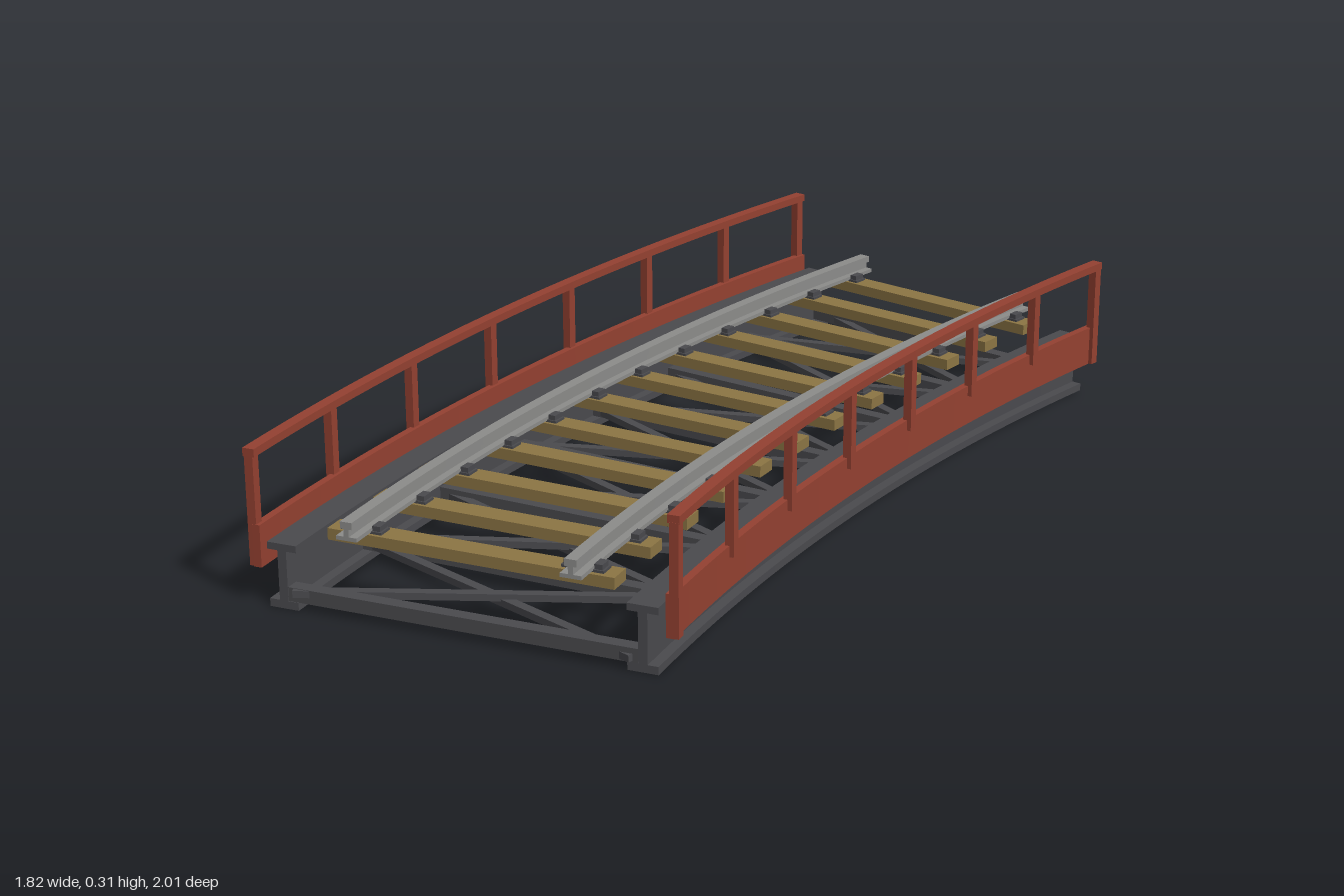
import * as THREE from 'three';

const mat = (name, color) => Object.assign(new THREE.MeshStandardMaterial({ color }), { name });

// Plan layout: everything lies on slightly elliptical arcs around one distant centre
const CX = 4.692, CZ = 3.498, MID = 5.865, WIDE = 1.012;
const A0 = THREE.MathUtils.degToRad(27.35), A1 = THREE.MathUtils.degToRad(45.65);
const BAYS = 7, TIES = 12;
const angleAt = t => A0 + (A1 - A0) * t;
const place = (r, a, y) => new THREE.Vector3(WIDE * (CX - r * Math.cos(a)), y, CZ - r * Math.sin(a));

// Sweep a [radius, height] profile along the arc
function sweep(points) {
  const shape = new THREE.Shape(points.map(([r, y]) => new THREE.Vector2(r, y)));
  const g = new THREE.ExtrudeGeometry(shape, { depth: 1, steps: 28, bevelEnabled: false });
  const p = g.attributes.position;
  for (let i = 0; i < p.count; i++) {
    const v = place(p.getX(i), angleAt(p.getZ(i)), p.getY(i));
    p.setXYZ(i, v.x, v.y, v.z);
  }
  g.computeVertexNormals();
  return g;
}
const rect = (r, y0, y1, w) => [[r - w / 2, y0], [r + w / 2, y0], [r + w / 2, y1], [r - w / 2, y1]];

// I-shaped section: foot, web and head
function iSection(r, y0, y1, foot, head, web, tf, th) {
  const f = foot / 2, h = head / 2, w = web / 2;
  return [[-f, y0], [f, y0], [f, y0 + tf], [w, y0 + tf], [w, y1 - th], [h, y1 - th],
    [h, y1], [-h, y1], [-h, y1 - th], [-w, y1 - th], [-w, y0 + tf], [-f, y0 + tf]]
    .map(([dr, y]) => [r + dr, y]);
}

export function createModel() {
  const model = new THREE.Group();
  const red = mat('red paint', 0x944131);
  const steel = mat('dark steel', 0x4a4a4e);
  const wood = mat('timber', 0x8c7544);
  const iron = mat('rail grey', 0x8c8c8a);

  const add = (name, geo, material) => {
    const m = new THREE.Mesh(geo, material);
    m.name = name;
    model.add(m);
    return m;
  };
  // Box whose local x axis points along the radius
  const block = (name, material, r, a, y0, y1, w, d) => {
    const m = add(name, new THREE.BoxGeometry(w, y1 - y0, d), material);
    m.position.copy(place(r, a, (y0 + y1) / 2));
    m.rotation.y = -a;
  };
  // Straight bar between two plan positions
  const bar = (name, rA, aA, rB, aB, y, h, w) => {
    const p = place(rA, aA, y), q = place(rB, aB, y);
    const m = add(name, new THREE.BoxGeometry(p.distanceTo(q), h, w), steel);
    m.position.copy(p).add(q).multiplyScalar(0.5);
    m.rotation.y = Math.atan2(p.z - q.z, q.x - p.x);
  };

  for (const [side, s] of [['inner', -1], ['outer', 1]]) {
    // Main girder, painted fascia, handrail and running rail
    add(side + 'Girder', sweep(iSection(MID + s * 0.36, 0, 0.13, 0.06, 0.06, 0.018, 0.016, 0.014)), steel);
    add(side + 'Fascia', sweep(rect(MID + s * 0.412, 0.075, 0.16, 0.016)), red);
    add(side + 'Handrail', sweep(rect(MID + s * 0.419, 0.294, 0.31, 0.024)), red);
    add(side + 'Rail', sweep(iSection(MID + s * 0.223, 0.158, 0.195, 0.042, 0.024, 0.01, 0.008, 0.014)), iron);

    // Railing posts; the end posts reach the foot of the fascia
    for (let i = 0; i <= BAYS; i++) {
      const inset = i === 0 ? 0.01 : i === BAYS ? -0.01 : 0;
      const foot = inset ? 0.076 : 0.138;
      block(side + 'Post', red, MID + s * 0.42, angleAt(i / BAYS) + inset / MID, foot, 0.296, 0.018, 0.02);
    }
  }

  // Cross beams at the bay lines
  for (let i = 0; i <= BAYS; i++) {
    const a = angleAt(i / BAYS) + (i === 0 ? 0.0025 : i === BAYS ? -0.0025 : 0);
    bar('crossBeam', MID - 0.352, a, MID + 0.352, a, 0.03, 0.028, 0.028);
  }
  // Diagonal bracing in each bay
  for (let i = 0; i < BAYS; i++) {
    const a = angleAt(i / BAYS), b = angleAt((i + 1) / BAYS);
    bar('diagonalBrace', MID - 0.34, a, MID + 0.34, b, 0.026, 0.014, 0.02);
    bar('diagonalBrace', MID + 0.34, a, MID - 0.34, b, 0.036, 0.014, 0.02);
  }

  // Sleepers with a chair under each rail
  for (let i = 0; i < TIES; i++) {
    const a = THREE.MathUtils.degToRad(28.0 + 17 * i / (TIES - 1));
    block('sleeper', wood, MID, a, 0.132, 0.155, 0.585, 0.048);
    for (const s of [-1, 1]) {
      block('railChair', steel, MID + s * 0.223, a, 0.154, 0.16, 0.085, 0.032);
      for (const t of [-1, 1]) block('chairJaw', steel, MID + s * 0.223 + t * 0.03, a, 0.158, 0.17, 0.016, 0.026);
    }
  }
  return model;
}
